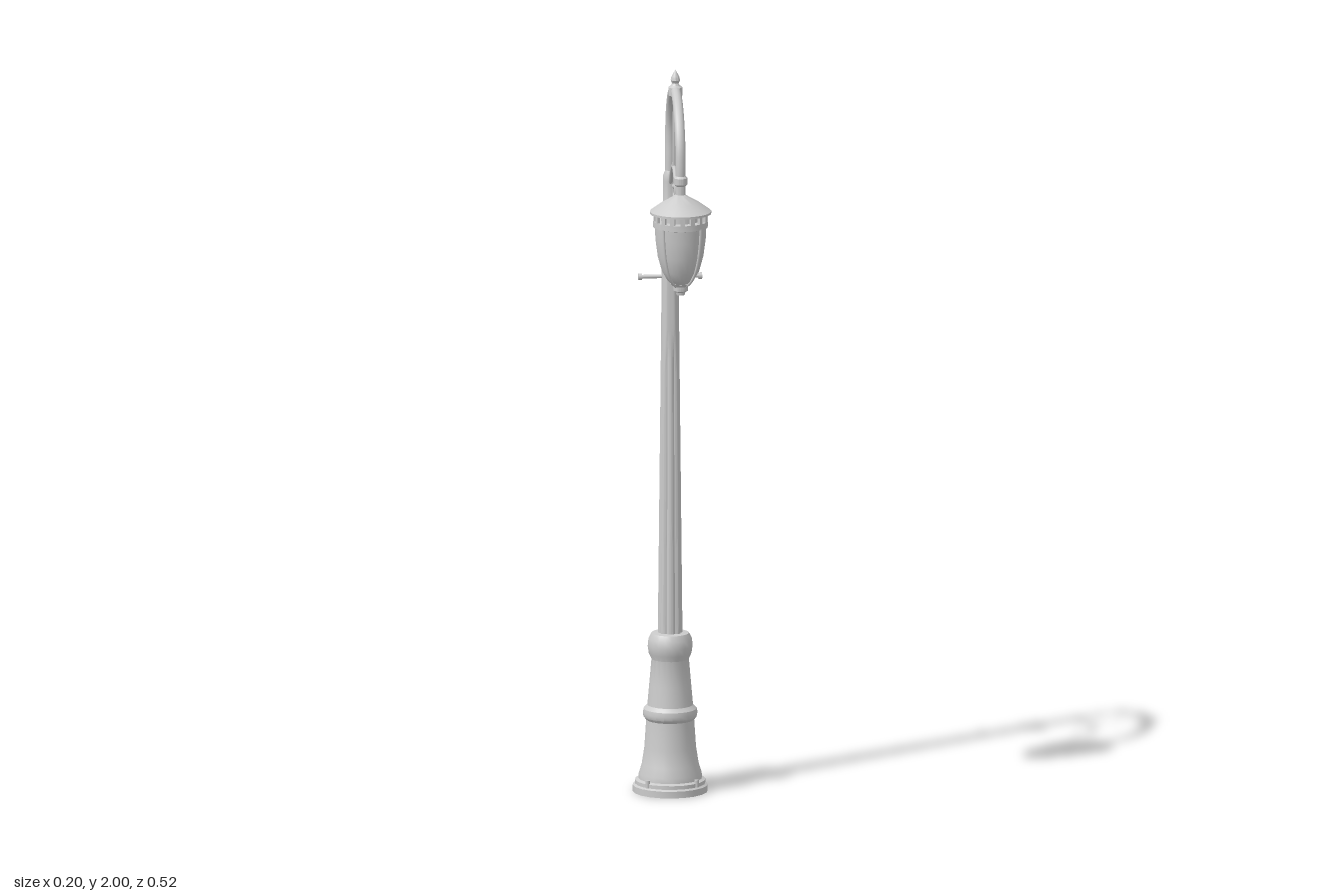
import * as THREE from 'three';
import { toCreasedNormals } from 'three/addons/utils/BufferGeometryUtils.js';

const POST_Z = -0.16, LAMP_Z = 0.18;
const material = new THREE.MeshStandardMaterial({ color: 0xcccccc, side: THREE.DoubleSide });

export function createModel() {
  const model = new THREE.Group();
  model.name = 'streetLamp';

  const add = (name, geometry, x = 0, y = 0, z = 0, parent = model) => {
    const mesh = new THREE.Mesh(geometry, material);
    mesh.name = name;
    mesh.position.set(x, y, z);
    parent.add(mesh);
    return mesh;
  };
  // Turned part from [radius, height] pairs, listed bottom to top
  const turned = (profile, sides = 20) => toCreasedNormals(
    new THREE.LatheGeometry(profile.map(([r, y]) => new THREE.Vector2(r, y)), sides), 0.6);
  const curve = (points) => new THREE.CatmullRomCurve3(points.map((p) => new THREE.Vector3(...p)));

  const post = new THREE.Group();
  post.name = 'post';
  post.position.z = POST_Z;
  model.add(post);

  // Hollow pedestal with two mouldings
  add('pedestal', turned([
    [0.055, 0.22], [0.08, 0.04], [0.085, 0], [0.1, 0], [0.1, 0.018], [0.094, 0.022], [0.094, 0.032],
    [0.085, 0.036], [0.084, 0.05], [0.076, 0.075], [0.069, 0.12], [0.064, 0.195], [0.071, 0.203],
    [0.073, 0.214], [0.071, 0.225], [0.061, 0.235], [0.056, 0.29], [0.05, 0.36], [0.057, 0.375],
    [0.06, 0.395], [0.058, 0.415], [0.05, 0.43], [0.026, 0.432],
  ]), 0, 0, 0, post);

  // Anchor bolts on the foot
  for (const x of [-0.065, 0.065]) for (const z of [-0.065, 0.065]) {
    add('anchorBolt', new THREE.CylinderGeometry(0.006, 0.006, 0.02, 8), x, 0.032, z, post);
  }

  // Service door at the back
  add('doorFrame', new THREE.BoxGeometry(0.054, 0.125, 0.026), 0, 0.288, -0.043, post);
  add('doorPanel', new THREE.BoxGeometry(0.042, 0.108, 0.006), 0, 0.288, -0.057, post);

  // Tapered shaft whose flutes fade out near the top
  const shaft = new THREE.CylinderGeometry(0.022, 0.033, 1.04, 48, 26, true);
  shaft.translate(0, 0.94, 0);
  const pos = shaft.attributes.position;
  for (let i = 0; i < pos.count; i++) {
    const x = pos.getX(i), y = pos.getY(i), z = pos.getZ(i);
    const fade = 1 - THREE.MathUtils.smoothstep(y, 1.18, 1.26);
    const groove = Math.pow(0.5 + 0.5 * Math.cos(8 * Math.atan2(z, x) + Math.PI), 3);
    const k = 1 - 0.14 * groove * fade;
    pos.setXYZ(i, x * k, y, z * k);
  }
  add('flutedShaft', toCreasedNormals(shaft, 0.6), 0, 0, 0, post);

  // Ball collar and upper tube
  add('ballCollar', turned([
    [0.022, 1.43], [0.026, 1.445], [0.026, 1.455], [0.033, 1.468], [0.035, 1.487], [0.033, 1.505],
    [0.024, 1.528], [0.02, 1.535], [0.019, 1.66], [0.019, 1.675], [0.013, 1.69],
  ]), 0, 0, 0, post);

  // Ladder rest crossbar
  add('crossbar', new THREE.CylinderGeometry(0.005, 0.005, 0.16, 10), 0, 1.4, 0, post).rotation.z = Math.PI / 2;
  for (const x of [-0.08, 0.08]) {
    add('crossbarKnob', new THREE.CylinderGeometry(0.009, 0.009, 0.01, 10), x, 1.4, 0, post).rotation.z = Math.PI / 2;
  }

  // Gooseneck arm: upright, half circle, short drop
  const arch = [[0, 1.66, POST_Z], [0, 1.72, POST_Z]];
  for (let i = 0; i <= 12; i++) {
    const a = Math.PI * (1 - i / 12);
    arch.push([0, 1.772 + 0.17 * Math.sin(a), 0.01 + 0.17 * Math.cos(a)]);
  }
  arch.push([0, 1.73, LAMP_Z]);
  add('archArm', new THREE.TubeGeometry(curve(arch), 60, 0.0135, 12));

  // Spike on top of the arch
  add('archFinial', turned([
    [0.014, 1.925], [0.019, 1.93], [0.019, 1.952], [0.012, 1.957], [0.009, 1.963], [0.013, 1.971],
    [0.011, 1.98], [0.004, 1.993], [0, 2],
  ], 10), 0, 0, 0.01);

  // Scroll bracket and its hanger rod
  add('scrollBracket', new THREE.TubeGeometry(curve([
    [0, 1.655, -0.15], [0, 1.695, -0.105], [0, 1.721, -0.06], [0, 1.724, -0.025], [0, 1.708, 0.012],
    [0, 1.682, 0.033], [0, 1.656, 0.027], [0, 1.646, 0.006], [0, 1.658, -0.011], [0, 1.677, -0.007],
  ]), 60, 0.006, 8));
  add('scrollTip', new THREE.SphereGeometry(0.008, 10, 8), 0, 1.679, -0.006);
  add('hangerRod', new THREE.TubeGeometry(curve([[0, 1.94, -0.008], [0, 1.83, -0.02], [0, 1.72, -0.033]]), 8, 0.005, 8));

  const lamp = new THREE.Group();
  lamp.name = 'lamp';
  lamp.position.z = LAMP_Z;
  model.add(lamp);

  // Neck and conical hood
  add('hood', turned([
    [0, 1.655], [0.076, 1.646], [0.082, 1.646], [0.082, 1.652], [0.05, 1.675], [0.022, 1.691],
    [0.013, 1.697], [0.013, 1.72], [0.018, 1.725], [0.018, 1.742], [0.013, 1.748],
  ]), 0, 0, 0, lamp);

  // Vent ring with small posts under the hood
  add('ventCore', new THREE.CylinderGeometry(0.052, 0.052, 0.03, 20), 0, 1.64, 0, lamp);
  for (let i = 0; i < 16; i++) {
    const a = (i / 16) * Math.PI * 2;
    add('ventPost', new THREE.BoxGeometry(0.012, 0.03, 0.008), 0.068 * Math.sin(a), 1.638, 0.068 * Math.cos(a), lamp).rotation.y = a;
  }

  // Acorn globe with rim, bottom knob and four ribs
  const acorn = [[0.018, 1.449], [0.035, 1.464], [0.05, 1.49], [0.061, 1.53], [0.067, 1.575], [0.069, 1.612]];
  add('globe', turned(acorn, 24), 0, 0, 0, lamp);
  add('globeRim', turned([[0.066, 1.608], [0.073, 1.61], [0.073, 1.626], [0, 1.628]]), 0, 0, 0, lamp);
  add('bottomKnob', turned([[0, 1.422], [0.011, 1.424], [0.013, 1.432], [0.02, 1.436], [0.02, 1.448], [0.028, 1.456], [0, 1.462]]), 0, 0, 0, lamp);
  for (let i = 0; i < 4; i++) {
    const rib = add('globeRib', new THREE.TubeGeometry(curve(acorn.map(([r, y]) => [0, y, r + 0.001])), 20, 0.004, 6), 0, 0, 0, lamp);
    rib.rotation.y = Math.PI / 4 + (i * Math.PI) / 2;
  }

  // Latch screw on the rim
  const latch = add('latchScrew', new THREE.CylinderGeometry(0.004, 0.004, 0.03, 8), -0.054, 1.618, -0.054, lamp);
  latch.rotation.set(Math.PI / 2, Math.PI / 4, 0, 'YXZ');

  return model;
}
